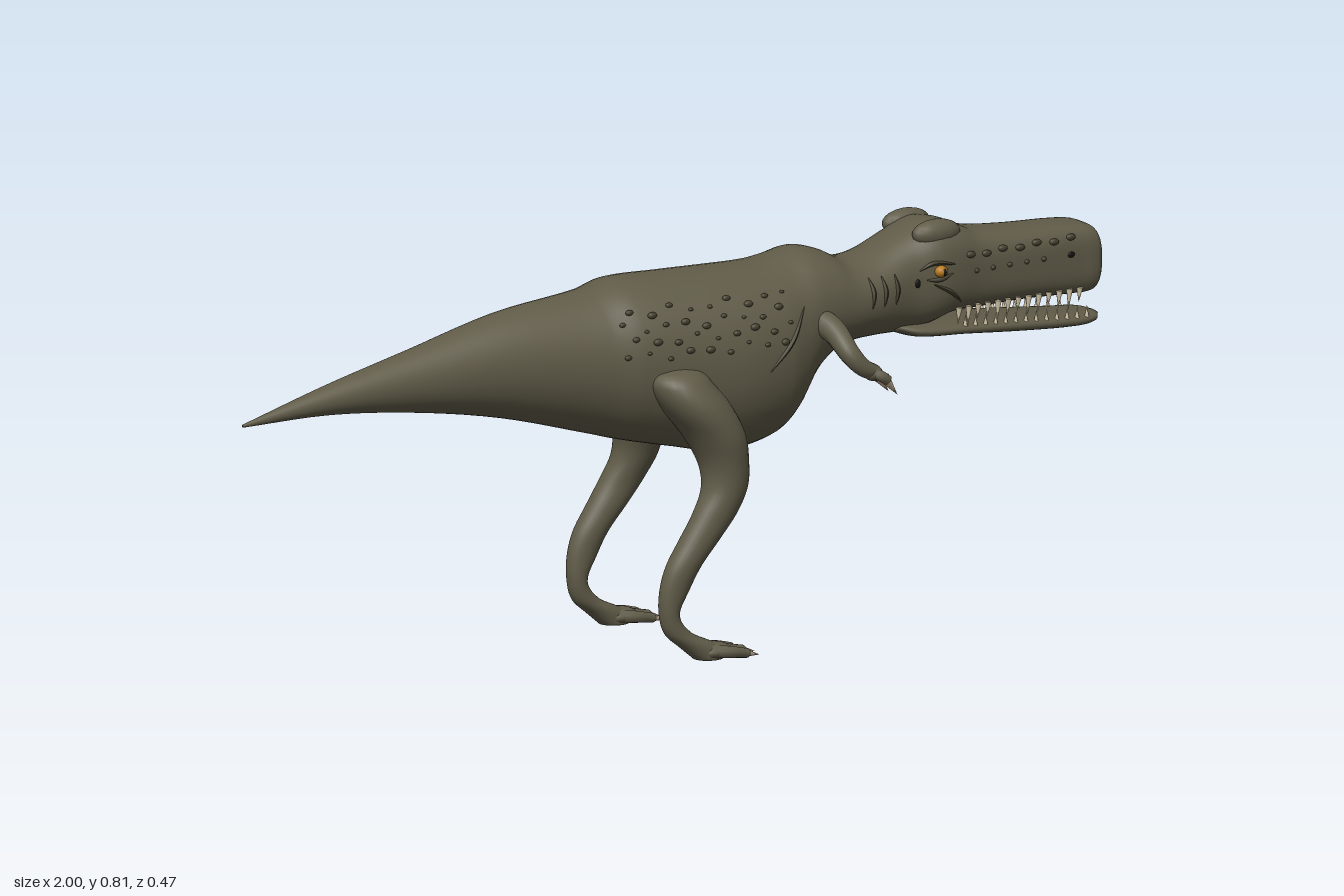
import * as THREE from 'three';

const mat = (name, color) => {
  const m = new THREE.MeshStandardMaterial({ color });
  m.name = name;
  return m;
};
const V = (x, y, z) => new THREE.Vector3(x, y, z);

// Smoothly interpolated row of a section table; column 0 is the position on the axis
function sample(rows, t) {
  let i = 0;
  while (i < rows.length - 2 && t > rows[i + 1][0]) i++;
  const a = rows[i], b = rows[i + 1], h = b[0] - a[0], u = (t - a[0]) / h;
  const slope = (k, c) => {
    const p = rows[Math.max(0, k - 1)], q = rows[Math.min(rows.length - 1, k + 1)];
    return (q[c] - p[c]) / (q[0] - p[0]);
  };
  return a.map((v, c) => c === 0 ? t :
    v * (1 + 2 * u) * (1 - u) ** 2 + slope(i, c) * h * u * (1 - u) ** 2 +
    b[c] * u * u * (3 - 2 * u) + slope(i + 1, c) * h * u * u * (u - 1));
}

// Closed skin over superellipse sections [axis, c1, r1, c2, r2, power]
function loft(rows, toPoint, sides = 40, steps = 5) {
  const pos = [], index = [], rings = [];
  for (let i = 0; i < rows.length - 1; i++)
    for (let s = 0; s < steps; s++)
      rings.push(sample(rows, rows[i][0] + (rows[i + 1][0] - rows[i][0]) * s / steps));
  rings.push(rows[rows.length - 1]);
  for (const [t, c1, r1, c2, r2, n] of rings)
    for (let j = 0; j < sides; j++) {
      const a = j / sides * Math.PI * 2, c = Math.cos(a), s = Math.sin(a);
      const k = (Math.abs(c) ** n + Math.abs(s) ** n) ** (-1 / n);
      pos.push(...toPoint(t, c1 + r1 * c * k, c2 + r2 * s * k));
    }
  const last = rings.length - 1, first = rings.length * sides;
  for (const r of [rings[0], rings[last]]) pos.push(...toPoint(r[0], r[1], r[3]));
  for (let j = 0; j < sides; j++) {
    const k = (j + 1) % sides;
    for (let i = 0; i < last; i++) {
      const a = i * sides + j, b = i * sides + k, c = b + sides, d = a + sides;
      index.push(a, b, c, a, c, d);
    }
    index.push(first, k, j, first + 1, last * sides + j, last * sides + k);
  }
  const g = new THREE.BufferGeometry();
  g.setAttribute('position', new THREE.Float32BufferAttribute(pos, 3));
  g.setIndex(index);
  g.computeVertexNormals();
  return g;
}
const alongX = (t, y, z) => [t, y, z];
const alongY = (t, z, x) => [x, t, z];

// Tube whose radius follows a rule along its length
function taperedTube(points, radius, seg = 16, sides = 10) {
  const curve = new THREE.CatmullRomCurve3(points);
  const g = new THREE.TubeGeometry(curve, seg, 1, sides);
  const p = g.attributes.position, v = new THREE.Vector3();
  for (let i = 0; i < p.count; i++) {
    const u = Math.floor(i / (sides + 1)) / seg, c = curve.getPointAt(u);
    v.fromBufferAttribute(p, i).sub(c).multiplyScalar(radius(u)).add(c);
    p.setXYZ(i, v.x, v.y, v.z);
  }
  g.computeVertexNormals();
  return g;
}

// Tail, trunk, neck and upper head: [x, top, bottom, half width, power]
const bodyRows = [
  [-1, 0.568, 0.562, 0.003, 2], [-0.8, 0.625, 0.564, 0.03, 2], [-0.6, 0.675, 0.545, 0.056, 2],
  [-0.4, 0.725, 0.51, 0.086, 2], [-0.2, 0.75, 0.455, 0.122, 2], [-0.13, 0.766, 0.435, 0.142, 2.1],
  [0, 0.764, 0.405, 0.162, 2.15], [0.1, 0.762, 0.385, 0.17, 2.15], [0.2, 0.762, 0.4, 0.16, 2.15],
  [0.25, 0.77, 0.43, 0.143, 2.1], [0.3, 0.78, 0.505, 0.125, 2.1], [0.35, 0.768, 0.552, 0.115, 2.1],
  [0.4, 0.746, 0.572, 0.108, 2.1], [0.46, 0.752, 0.578, 0.1, 2.2], [0.53, 0.782, 0.58, 0.09, 2.5],
  [0.59, 0.802, 0.592, 0.097, 2.9], [0.64, 0.796, 0.608, 0.094, 3], [0.7, 0.772, 0.61, 0.084, 3.2],
  [0.8, 0.761, 0.613, 0.075, 3.5], [0.93, 0.756, 0.61, 0.066, 3.8], [0.975, 0.748, 0.612, 0.064, 3.6],
  [0.993, 0.73, 0.63, 0.05, 3], [1, 0.7, 0.66, 0.025, 2.5],
].map(([x, top, bot, w, n]) => [x, (top + bot) / 2, (top - bot) / 2, 0, w, n]);

const jawRows = [
  [0.5, 0.598, 0.012, 0, 0.06, 2.3], [0.55, 0.586, 0.016, 0, 0.085, 2.4], [0.65, 0.579, 0.015, 0, 0.086, 2.5],
  [0.8, 0.567, 0.017, 0, 0.073, 2.5], [0.93, 0.558, 0.015, 0, 0.064, 2.5], [0.98, 0.558, 0.012, 0, 0.05, 2.4],
  [1, 0.56, 0.004, 0, 0.022, 2],
];

// Leg from sole to hip: [y, z, half width, x, half depth, power]
const legRows = [
  [0.004, 0.182, 0.03, -0.015, 0.032, 2], [0.03, 0.181, 0.029, -0.036, 0.042, 2],
  [0.06, 0.179, 0.024, -0.083, 0.029, 2], [0.1, 0.178, 0.022, -0.104, 0.021, 2],
  [0.15, 0.179, 0.025, -0.093, 0.032, 2], [0.2, 0.18, 0.03, -0.071, 0.039, 2],
  [0.25, 0.18, 0.033, -0.034, 0.045, 2], [0.3, 0.18, 0.036, 0.002, 0.049, 2],
  [0.35, 0.174, 0.046, 0.028, 0.048, 2], [0.4, 0.165, 0.06, 0.03, 0.05, 2],
  [0.46, 0.154, 0.078, 0.012, 0.062, 2], [0.52, 0.147, 0.08, -0.026, 0.072, 2],
  [0.565, 0.138, 0.068, -0.054, 0.066, 2], [0.59, 0.13, 0.05, -0.06, 0.052, 2],
  [0.6, 0.125, 0.02, -0.06, 0.02, 2],
];

export function createModel() {
  const skin = mat('olive skin', 0x605b48), dark = mat('dark scales', 0x45412f);
  const ivory = mat('ivory teeth', 0xd2c4a6), horn = mat('claw horn', 0xbfa88e);
  const amber = mat('amber eye', 0xb87a1c), black = mat('black', 0x14120e);
  const model = new THREE.Group();
  const ball = new THREE.SphereGeometry(1, 16, 12);

  const add = (name, geo, m, parent = model) => {
    const mesh = new THREE.Mesh(geo, m);
    mesh.name = name;
    parent.add(mesh);
    return mesh;
  };
  const blob = (name, m, parent, p, s) => {
    const mesh = add(name, ball, m, parent);
    mesh.position.copy(p);
    mesh.scale.set(...s);
    return mesh;
  };
  const spike = (name, m, parent, from, to, r) => {
    const d = to.clone().sub(from);
    const mesh = add(name, new THREE.ConeGeometry(r, d.length(), 8), m, parent);
    mesh.position.copy(from).addScaledVector(d, 0.5);
    mesh.quaternion.setFromUnitVectors(V(0, 1, 0), d.normalize());
  };
  // Point on the flank of the body at a given x and y
  const onSkin = (x, y, side) => {
    const [, c, r, , w, n] = sample(bodyRows, x);
    return V(x, y, side * w * Math.max(0, 1 - Math.abs((y - c) / r) ** n) ** (1 / n));
  };

  add('body', loft(bodyRows, alongX, 48), skin);
  add('lowerJaw', loft(jawRows, alongX), skin);

  for (const s of [1, -1]) {
    const part = (name) => {
      const g = new THREE.Group();
      g.name = (s < 0 ? 'left' : 'right') + name;
      model.add(g);
      return g;
    };

    // Leg with three clawed toes
    const leg = part('Leg');
    add('leg', loft(legRows.map(([y, z, ...r]) => [y, z * s, ...r]), alongY, 28), skin, leg);
    blob('foot', skin, leg, V(-0.008, 0.018, 0.182 * s), [0.045, 0.018, 0.035]);
    for (const k of [-1, 0, 1]) {
      const z = (0.182 + k * 0.031) * s, tip = 0.055 + (k === 0 ? 0.008 : 0);
      add('toe', taperedTube([V(-0.02, 0.02, (0.182 + k * 0.015) * s), V(0.02, 0.017, z), V(tip, 0.011, z)],
        u => 0.015 - 0.005 * u), skin, leg);
      blob('toeTip', skin, leg, V(tip, 0.011, z), [0.01, 0.01, 0.01]);
      spike('toeClaw', horn, leg, V(tip, 0.011, z), V(tip + 0.032, 0.004, z), 0.008);
    }

    // Small arm with two claws
    const arm = part('Arm');
    add('arm', taperedTube([V(0.29, 0.65, 0.09 * s), V(0.305, 0.63, 0.145 * s), V(0.313, 0.592, 0.193 * s),
      V(0.335, 0.565, 0.204 * s), V(0.365, 0.55, 0.204 * s)], u => 0.03 - 0.014 * u, 24, 14), skin, arm);
    blob('hand', skin, arm, V(0.36, 0.55, 0.204 * s), [0.02, 0.016, 0.02]);
    for (const z of [0.187, 0.221]) {
      add('finger', taperedTube([V(0.355, 0.552, 0.204 * s), V(0.37, 0.545, z * s), V(0.384, 0.535, z * s)],
        u => 0.012 - 0.001 * u, 8), skin, arm);
      spike('fingerClaw', horn, arm, V(0.376, 0.542, z * s), V(0.407, 0.503, z * s), 0.012);
    }

    // Eye, brow, nostril and ear
    const face = part('Face');
    blob('eye', amber, face, V(0.585, 0.711, 0.098 * s), [0.014, 0.012, 0.013]);
    blob('pupil', black, face, V(0.587, 0.711, 0.109 * s), [0.004, 0.008, 0.003]);
    blob('browHorn', skin, face, V(0.597, 0.782, 0.058 * s), [0.055, 0.028, 0.026]);
    blob('nostril', black, face, onSkin(0.91, 0.7, s), [0.009, 0.006, 0.003]);
    blob('ear', black, face, onSkin(0.535, 0.69, s), [0.006, 0.009, 0.003]);

    // Skin folds on brow, cheek, neck and shoulder
    const folds = [
      [[0.54, 0.715], [0.57, 0.728], [0.62, 0.722]], [[0.555, 0.695], [0.585, 0.694], [0.615, 0.703]],
      [[0.57, 0.685], [0.61, 0.665], [0.64, 0.64]], [[0.14, 0.57], [0.2, 0.625], [0.245, 0.685]],
      ...[0.42, 0.45, 0.48].map(x => [[x, 0.655], [x + 0.005, 0.685], [x + 0.002, 0.715]]),
    ];
    for (const f of folds)
      add('skinFold', taperedTube(f.map(([x, y]) => onSkin(x, y, s)),
        u => 0.001 + 0.004 * Math.sin(Math.PI * u), 14, 6), dark, face);

    // Scale bumps over the flank and snout
    const scales = part('Scales');
    for (let r = 0; r < 4; r++)
      for (let i = 0; i < 9; i++) {
        const x = -0.17 + i * 0.044 + (r % 2) * 0.02, y = 0.63 + r * 0.028 + 0.008 * Math.sin(i * 2.3 + r);
        const size = 0.006 + 0.002 * Math.sin(i * 5 + r * 3);
        blob('scale', dark, scales, onSkin(x, y, s), [size * 1.3, size * 0.9, size * 0.8]);
      }
    for (let i = 0; i < 7; i++) {
      const x = 0.66 + i * 0.042;
      blob('snoutBump', dark, scales, onSkin(x, 0.735 - 0.004 * (i % 2), s), [0.011, 0.007, 0.006]);
      if (i < 5) blob('snoutBump', dark, scales, onSkin(x + 0.015, 0.7, s), [0.006, 0.005, 0.004]);
    }

    // Teeth along both jaws
    const teeth = part('Teeth');
    for (let i = 0; i < 13; i++) {
      const x = 0.635 + i * 0.025, w = sample(bodyRows, x)[4] * s;
      const len = 0.026 + 0.008 * Math.sin(i * 1.9);
      spike('upperTooth', ivory, teeth, V(x, 0.628, w * 0.9), V(x - 0.003, 0.618 - len, w * 0.9), 0.007);
      const xl = x + 0.02, [, y, , , wl] = sample(jawRows, xl);
      spike('lowerTooth', ivory, teeth, V(xl, y + 0.006, wl * 0.88 * s), V(xl, y + 0.032, wl * 0.9 * s), 0.005);
    }
  }
  return model;
}
